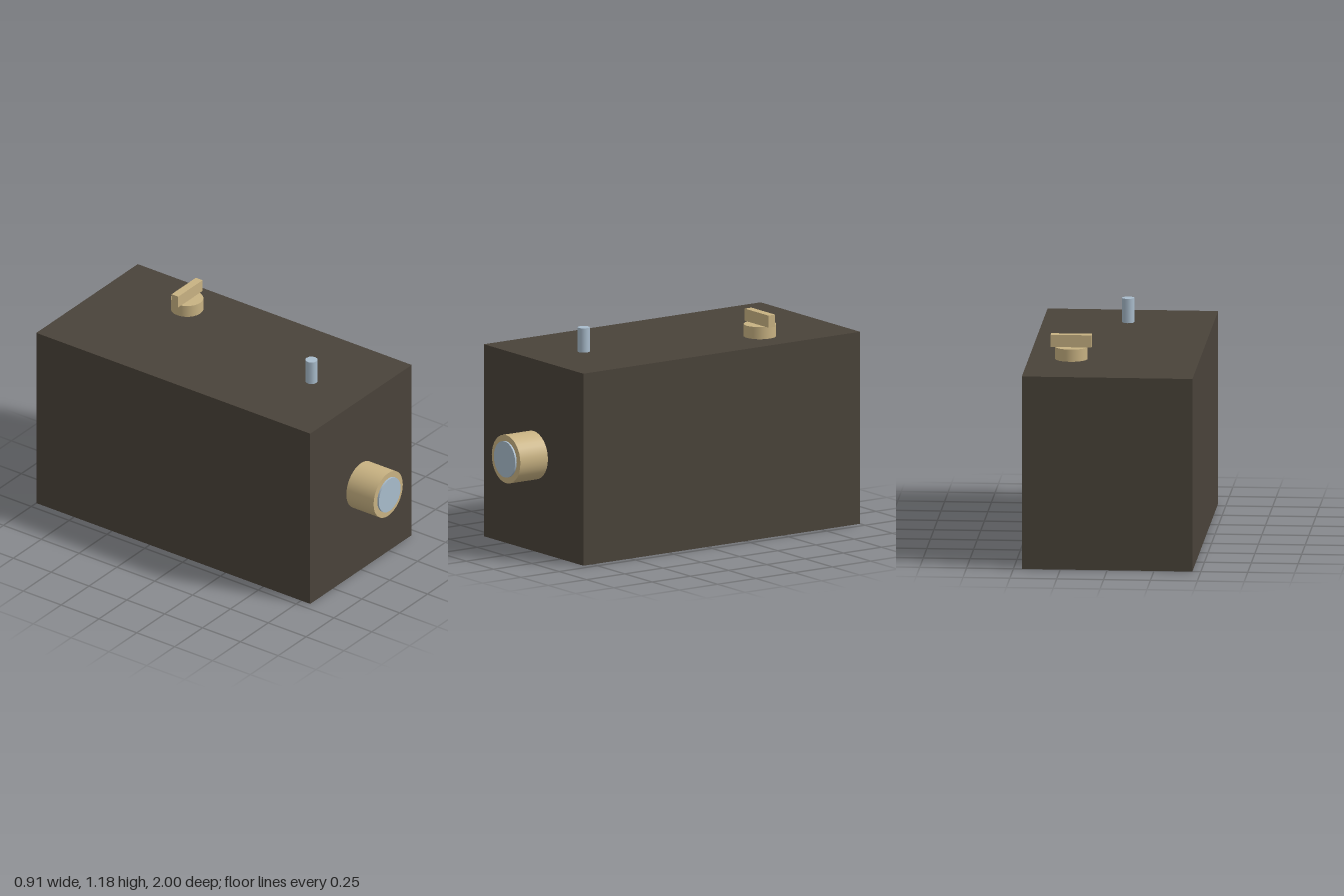
import * as THREE from 'three';

const material = (name, color) => {
  const m = new THREE.MeshStandardMaterial({ color });
  m.name = name;
  return m;
};

export function createModel() {
  const group = new THREE.Group();
  const dark = material('dark casing', 0x4a433a);
  const brass = material('brass', 0xc8b282);
  const steel = material('pale steel', 0xa9bccc);

  const add = (name, geometry, mat, x, y, z) => {
    const mesh = new THREE.Mesh(geometry, mat);
    mesh.name = name;
    mesh.position.set(x, y, z);
    group.add(mesh);
    return mesh;
  };
  const cylinder = (radius, length, sides) =>
    new THREE.CylinderGeometry(radius, radius, length, sides);

  // Box body
  add('body', new THREE.BoxGeometry(0.91, 1.045, 1.81), dark, 0, 0.5225, -0.095);

  // Lens barrel and glass on the front face
  add('lensBarrel', cylinder(0.131, 0.18, 32).rotateX(Math.PI / 2), brass, 0, 0.5225, 0.9);
  add('lensGlass', cylinder(0.098, 0.02, 32).rotateX(Math.PI / 2), steel, 0, 0.5225, 0.99);

  // Shutter pin on top
  add('shutterPin', cylinder(0.033, 0.132, 12), steel, 0, 1.111, 0.483);

  // Winding key: round base with a flat grip
  add('keyBase', cylinder(0.087, 0.066, 24), brass, 0.228, 1.078, -0.507);
  add('keyGrip', new THREE.BoxGeometry(0.218, 0.066, 0.044), brass, 0.228, 1.144, -0.507);

  return group;
}
